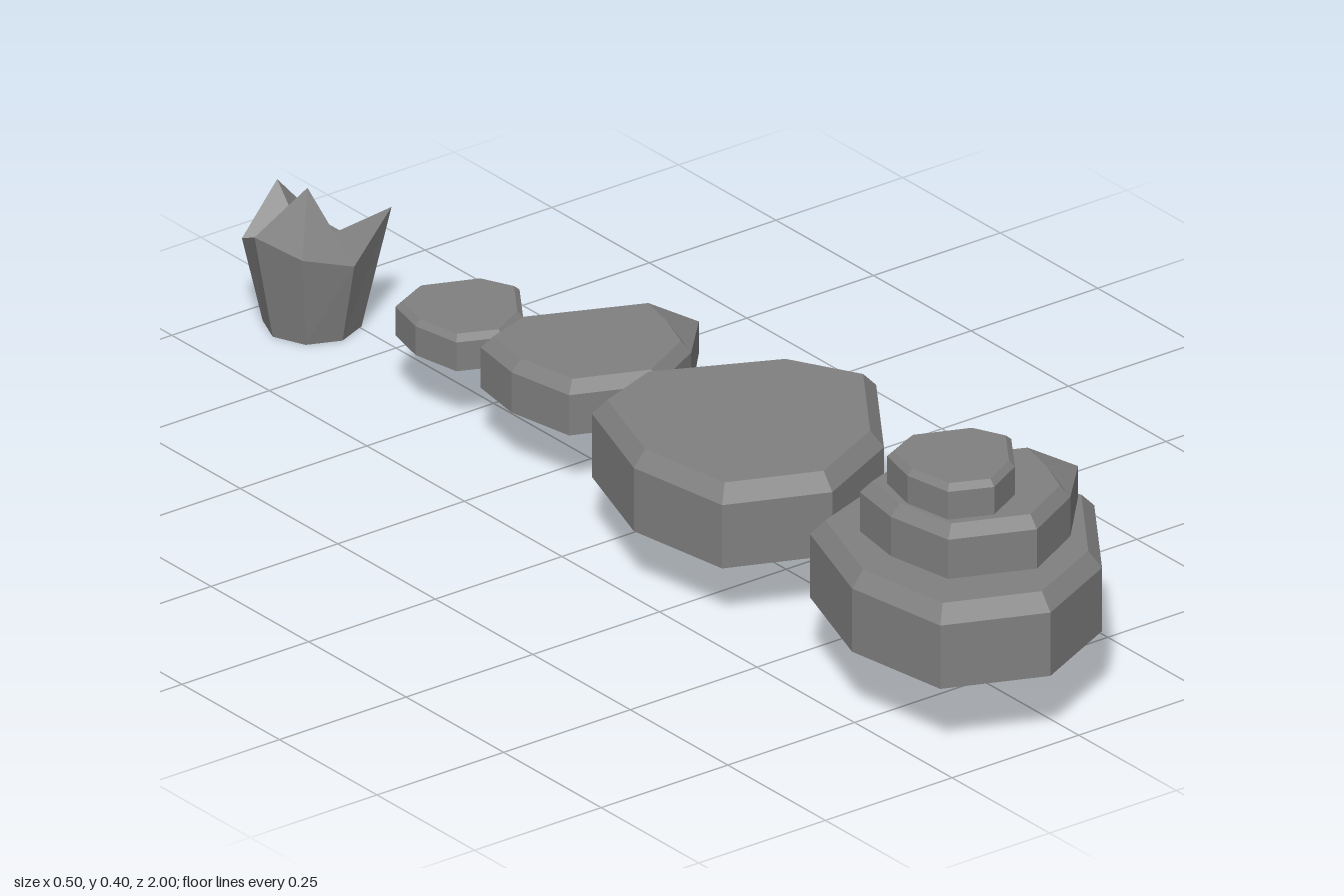
import * as THREE from 'three';

const material = new THREE.MeshStandardMaterial({ color: 0x808080, flatShading: true });

function facetMesh(name, triangles) {
  const g = new THREE.BufferGeometry();
  g.setAttribute('position', new THREE.Float32BufferAttribute(triangles.flat(2), 3));
  g.computeVertexNormals();
  const mesh = new THREE.Mesh(g, material);
  mesh.name = name;
  return mesh;
}

// Triangles joining two rings of equal length (outlines run back, left, front, right)
function band(lower, upper) {
  return lower.flatMap((p, i) => {
    const j = (i + 1) % lower.length;
    return [[p, lower[j], upper[j]], [p, upper[j], upper[i]]];
  });
}

const cap = (ring) => ring.slice(2).map((p, i) => [ring[0], ring[i + 1], p]);

// Flat slab with a bevelled top edge; an optional corner can be pulled down to a chipped tip
function stone({ outline, heights: [y0, y1, y2], inset, tip }) {
  const n = outline.length;
  const cx = outline.reduce((s, p) => s + p[0], 0) / n;
  const cz = outline.reduce((s, p) => s + p[1], 0) / n;
  const bottom = outline.map(([x, z]) => [x, y0, z]);
  const edge = outline.map(([x, z]) => [x, y1, z]);
  const top = outline.map(([x, z]) => [cx + (x - cx) * inset, y2, cz + (z - cz) * inset]);
  if (tip) {
    edge[tip.index][1] = tip.y;
    top[tip.index] = tip.top;
  }
  return [...cap([...bottom].reverse()), ...band(bottom, edge), ...band(edge, top), ...cap(top)];
}

const large = stone({
  outline: [[-0.042, -0.075], [-0.168, -0.03], [-0.235, 0.165], [-0.207, 0.355],
    [-0.042, 0.423], [0.12, 0.345], [0.247, 0.16], [0.177, 0.03]],
  heights: [0.103, 0.213, 0.24], inset: 0.9,
});
const medium = stone({
  outline: [[-0.02, -0.42], [-0.11, -0.39], [-0.126, -0.29], [-0.105, -0.17],
    [0.028, -0.115], [0.14, -0.175], [0.236, -0.28], [0.187, -0.33]],
  heights: [0.102, 0.172, 0.192], inset: 0.89,
  tip: { index: 6, y: 0.157, top: [0.153, 0.192, -0.255] },
});
const small = stone({
  outline: [[-0.04, -0.645], [-0.105, -0.615], [-0.123, -0.54], [-0.108, -0.455],
    [-0.04, -0.425], [0.03, -0.463], [0.086, -0.545], [0.058, -0.605]],
  heights: [0.105, 0.155, 0.165], inset: 0.9,
});

// Tapered jagged rock: octagonal foot, uneven rim, sunken centre and one high inner peak
function jaggedRock() {
  const cx = -0.05, cz = -0.9;
  const at = ([x, y, z]) => [cx + x, y, cz + z];
  const rim = [[0.008, 0.21, -0.1], [-0.077, 0.14, -0.08], [-0.11, 0.18, -0.005], [-0.077, 0.16, 0.075],
    [0, 0.14, 0.108], [0.095, 0.205, 0.08], [0.112, 0.1, -0.005], [0.08, 0.125, -0.085]].map(at);
  const foot = rim.map((_, i) => {
    const a = i * Math.PI / 4;
    return at([-0.078 * Math.sin(a), 0, -0.078 * Math.cos(a)]);
  });
  const centre = at([0, 0.13, -0.015]);
  const peak = at([-0.04, 0.263, 0.04]);
  const crown = rim.map((p, i) => [p, rim[(i + 1) % 8], i === 2 || i === 3 ? peak : centre]);
  crown.push([rim[2], peak, centre], [peak, rim[4], centre]);
  return [...cap([...foot].reverse()), ...band(foot, rim), ...crown];
}

export function createModel() {
  const model = new THREE.Group();
  model.name = 'rockSet';

  // Loose pieces in a row
  model.add(facetMesh('largeStone', large), facetMesh('mediumStone', medium),
    facetMesh('smallStone', small), facetMesh('jaggedRock', jaggedRock()));

  // The same three stones piled up at the front
  const stack = new THREE.Group();
  stack.name = 'stoneStack';
  const layers = [
    ['stackBase', large, [-0.013, 0.016, 0.576]],
    ['stackMiddle', medium, [-0.037, 0.152, 1.02]],
    ['stackTop', small, [-0.015, 0.237, 1.28]],
  ];
  for (const [name, shape, offset] of layers) {
    const mesh = facetMesh(name, shape);
    mesh.position.set(...offset);
    stack.add(mesh);
  }
  model.add(stack);
  return model;
}
